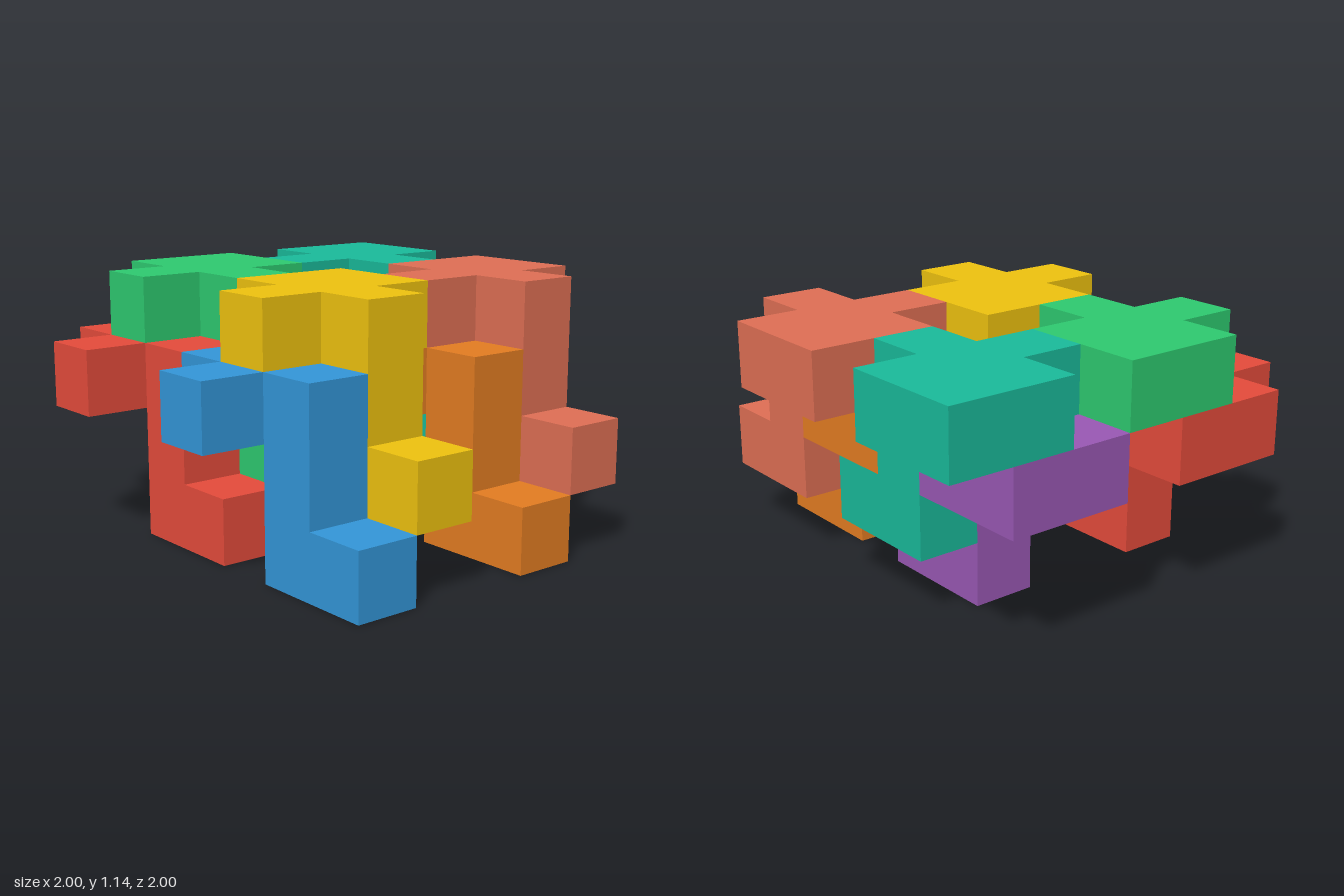
import * as THREE from 'three';
import { mergeGeometries } from 'three/addons/utils/BufferGeometryUtils.js';

const U = 2 / 7; // edge of one cube cell

const extrude = (points) => new THREE.ExtrudeGeometry(
  new THREE.Shape(points.map(([x, y]) => new THREE.Vector2(x, y))),
  { depth: 1, bevelEnabled: false });

// One interlocking piece in cell units: a flat branching plate with a footed leg below it
function pieceGeometry() {
  // plate outline in x, z
  const plate = extrude([[1, 0], [3, 0], [3, 2], [2, 2], [2, 3], [1, 3], [1, 2], [0, 2], [0, 1], [1, 1]])
    .rotateX(Math.PI / 2).translate(0, 3, 0);
  // leg profile in z, y
  const leg = extrude([[2, 0], [4, 0], [4, 1], [3, 1], [3, 2], [2, 2]])
    .rotateY(-Math.PI / 2).translate(2, 0, 0);
  return mergeGeometries([plate, leg]).scale(U, U, U);
}

export function createModel() {
  const group = new THREE.Group();
  group.name = 'interlockingBlocks';
  const geometry = pieceGeometry();

  // Upper and lower piece of each pair: name, colour, cell offset
  const pieces = [
    ['yellowPiece', 0xf1c40f, 1, 1, 3],
    ['bluePiece', 0x3498db, 0, 0, 3],
    ['salmonPiece', 0xe17055, 4, 1, 3],
    ['orangePiece', 0xe67e22, 3, 0, 3],
    ['greenPiece', 0x2ecc71, 1, 1, 0],
    ['redPiece', 0xe74c3c, 0, 0, 0],
    ['tealPiece', 0x1abc9c, 4, 1, 0],
    ['purplePiece', 0x9b59b6, 3, 0, 0],
  ];
  for (const [name, color, x, y, z] of pieces) {
    const mesh = new THREE.Mesh(geometry, new THREE.MeshStandardMaterial({ color }));
    mesh.name = name;
    mesh.position.set(x * U - 1, y * U, z * U - 1);
    group.add(mesh);
  }
  return group;
}
